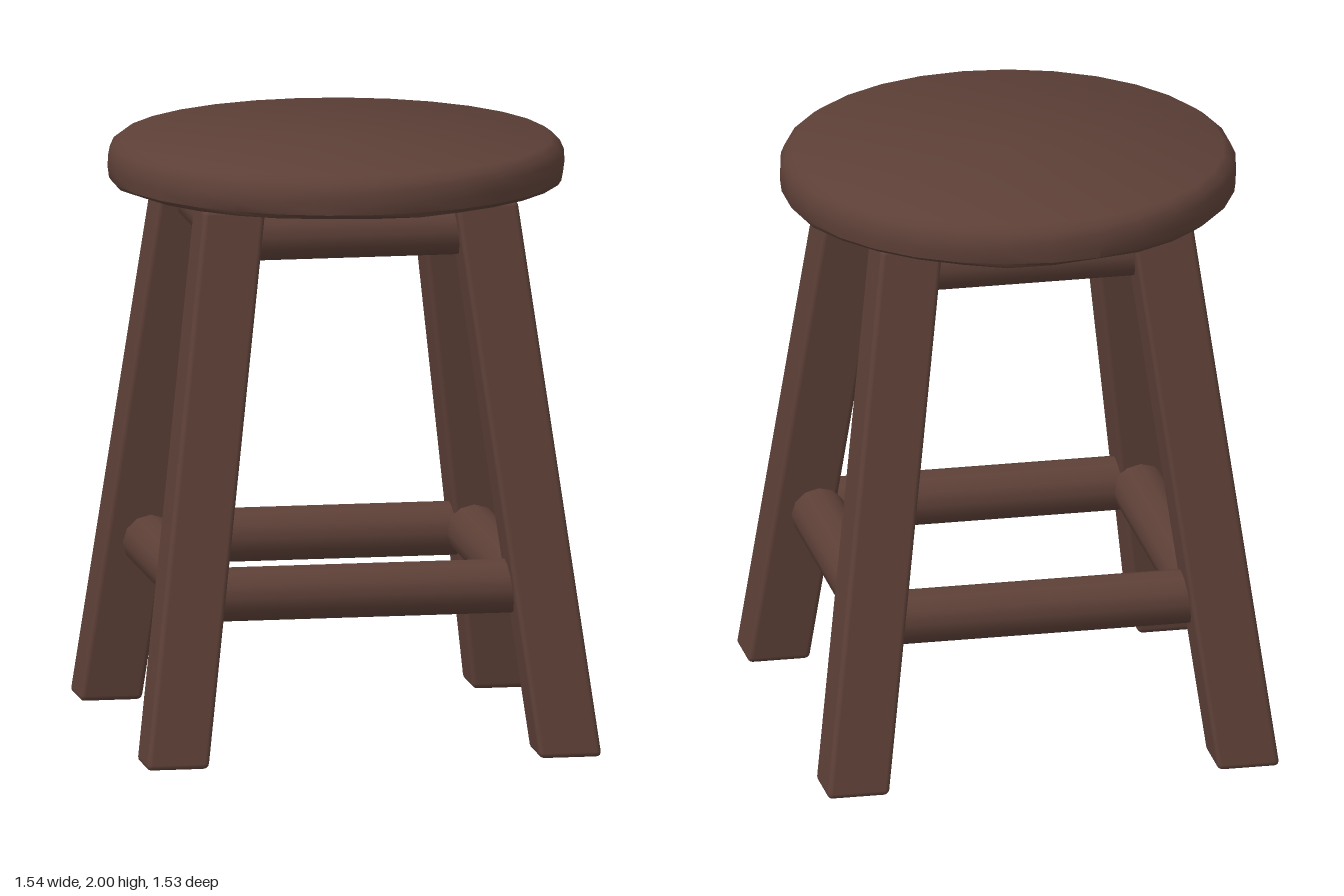
import * as THREE from 'three';
import { RoundedBoxGeometry } from 'three/addons/geometries/RoundedBoxGeometry.js';
import { toCreasedNormals } from 'three/addons/utils/BufferGeometryUtils.js';

export function createModel() {
  const stool = new THREE.Group();
  stool.name = 'stool';
  const wood = new THREE.MeshStandardMaterial({ color: 0x5d4037 });
  wood.name = 'dark brown wood';

  const add = (name, geometry) => {
    const mesh = new THREE.Mesh(geometry, wood);
    mesh.name = name;
    stool.add(mesh);
    return mesh;
  };

  // Round seat with a softened top edge and a slightly uneven lower rim
  const profile = [
    [0, 1.855], [0.74, 1.855], [0.762, 1.872], [0.767, 1.91], [0.765, 1.95],
    [0.752, 1.98], [0.725, 2], [0, 2],
  ].map(([r, y]) => new THREE.Vector2(r, y));
  const seat = new THREE.LatheGeometry(profile, 30);
  const p = seat.attributes.position;
  for (let i = 0; i < p.count; i++) {
    const ring = i % profile.length;
    if (ring !== 1) continue;
    const a = Math.atan2(p.getX(i), p.getZ(i));
    const k = 1 + 0.012 * Math.sin(a * 7) + 0.008 * Math.sin(a * 11);
    p.setX(i, p.getX(i) * k);
    p.setZ(i, p.getZ(i) * k);
  }
  add('seat', toCreasedNormals(seat, 0.7));

  // Splayed square legs: bevelled boxes sheared outwards towards the floor
  const legHeight = 1.855;
  const foot = { x: 0.668, z: 0.652 };
  const head = { x: 0.428, z: 0.388 };
  for (const sx of [-1, 1]) {
    for (const sz of [-1, 1]) {
      const leg = new RoundedBoxGeometry(0.212, legHeight, 0.202, 2, 0.018);
      const shear = new THREE.Matrix4().set(
        1, sx * (head.x - foot.x) / legHeight, 0, sx * (head.x + foot.x) / 2,
        0, 1, 0, legHeight / 2,
        0, sz * (head.z - foot.z) / legHeight, 1, sz * (head.z + foot.z) / 2,
        0, 0, 0, 1,
      );
      leg.applyMatrix4(shear);
      add((sz > 0 ? 'front' : 'back') + (sx > 0 ? 'Left' : 'Right') + 'Leg', leg);
    }
  }

  // Two squares of round rails joining the legs
  const rails = [
    { name: 'lowerRail', y: 0.555, x: 0.55, z: 0.54 },
    { name: 'upperRail', y: 1.748, x: 0.4, z: 0.365 },
  ];
  for (const { name, y, x, z } of rails) {
    for (const s of [-1, 1]) {
      const across = new THREE.CylinderGeometry(0.092, 0.092, 2 * x + 0.04, 12);
      across.rotateZ(Math.PI / 2);
      add(name + (s > 0 ? 'Front' : 'Back'), across).position.set(0, y, s * z);

      const along = new THREE.CylinderGeometry(0.092, 0.092, 2 * z + 0.04, 12);
      along.rotateX(Math.PI / 2);
      add(name + (s > 0 ? 'Left' : 'Right'), along).position.set(s * x, y, 0);
    }
  }
  return stool;
}
